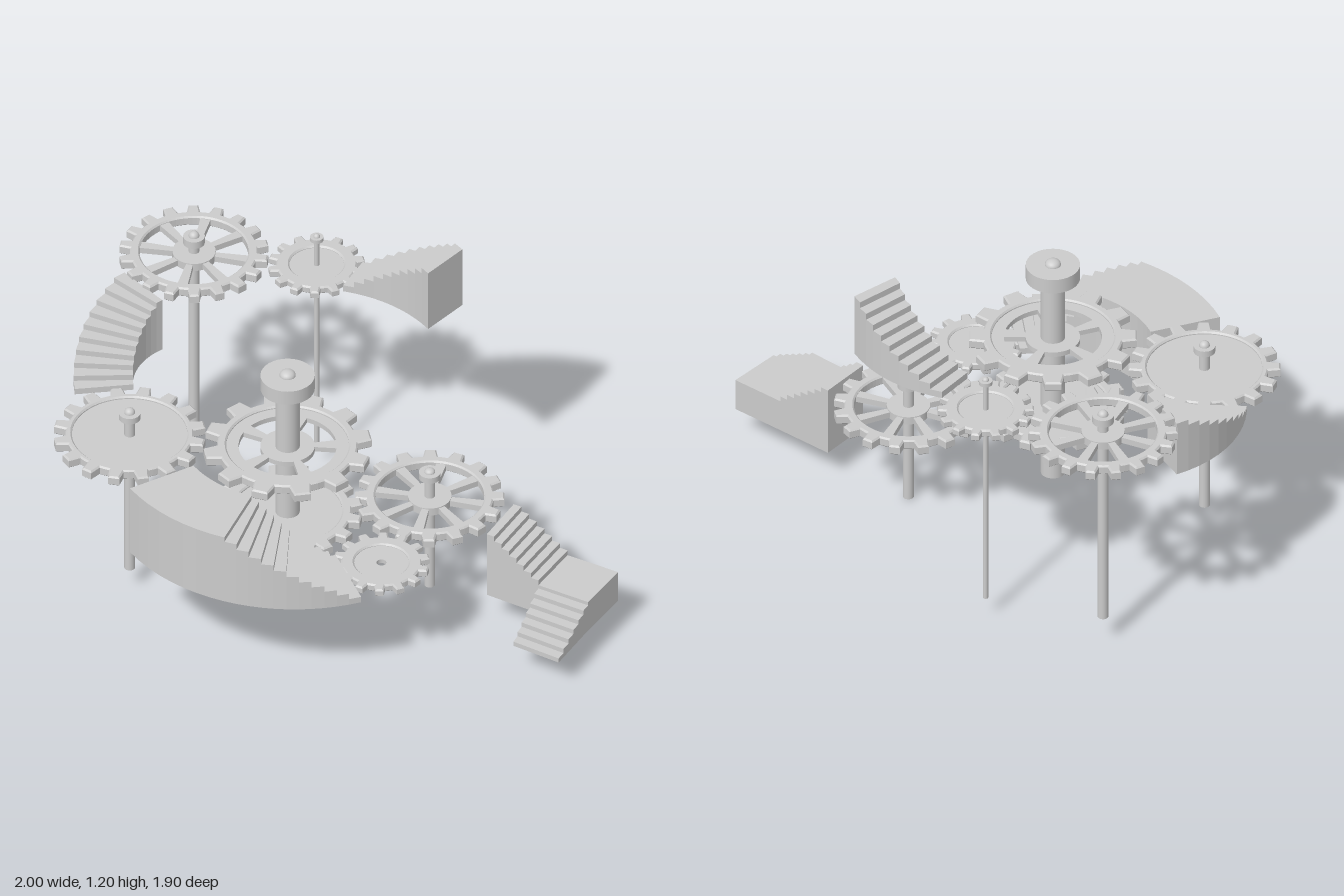
import * as THREE from 'three';

const material = new THREE.MeshStandardMaterial({ color: 0xcccccc });
const flatMaterial = new THREE.MeshStandardMaterial({ color: 0xcccccc, flatShading: true });

function add(parent, name, geometry, mat = material) {
  const mesh = new THREE.Mesh(geometry, mat);
  mesh.name = name;
  parent.add(mesh);
  return mesh;
}

// Toothed outline
function gearShape(outer, root, teeth, phase) {
  const points = [];
  const pitch = (Math.PI * 2) / teeth;
  for (let i = 0; i < teeth; i++) {
    const a = phase + i * pitch;
    for (const [r, k] of [[root, -0.3], [outer, -0.19], [outer, 0.19], [root, 0.3], [root, 0.5]]) {
      points.push(new THREE.Vector2(r * Math.cos(a + k * pitch), r * Math.sin(a + k * pitch)));
    }
  }
  return new THREE.Shape(points);
}

// Extrude a shape upward, lying flat and centred on y = 0
function flatExtrude(shape, height, bevel) {
  const g = new THREE.ExtrudeGeometry(shape, {
    depth: height - 2 * bevel, bevelEnabled: bevel > 0, bevelThickness: bevel,
    bevelSize: bevel, bevelOffset: -bevel, bevelSegments: 1, curveSegments: 40,
  });
  g.translate(0, 0, bevel - height / 2);
  g.rotateX(-Math.PI / 2);
  return g;
}

function circlePath(r) {
  return new THREE.Path().absarc(0, 0, r, 0, Math.PI * 2, true);
}

// Gear: rim with teeth, filled by a recessed plate or by spokes and a hub
function gear(parent, { name, x, y, z, outer, root, inner, teeth, height = 0.04, phase = 0, spokes = 0, hub = 0.08, window = 0, bore = 0 }) {
  const group = new THREE.Group();
  group.name = name;
  group.position.set(x, y, z);
  const rim = gearShape(outer, root, teeth, phase);
  rim.holes.push(circlePath(inner));
  add(group, 'toothedRim', flatExtrude(rim, height, 0.006), flatMaterial);

  if (spokes && !window) {
    add(group, 'hub', new THREE.CylinderGeometry(hub, hub, height * 0.8, 32));
    for (let i = 0; i < spokes; i++) {
      const length = inner - hub + 0.03;
      const wedge = new THREE.Shape([
        new THREE.Vector2(hub - 0.015, -0.012), new THREE.Vector2(hub - 0.015 + length, -0.02),
        new THREE.Vector2(hub - 0.015 + length, 0.02), new THREE.Vector2(hub - 0.015, 0.012),
      ]);
      add(group, 'spoke', flatExtrude(wedge, height * 0.6, 0)).rotation.y = ((i + 0.5) / spokes) * Math.PI * 2;
    }
  } else {
    const plate = new THREE.Shape().absarc(0, 0, inner + 0.01, 0, Math.PI * 2, false);
    // curved windows leave spokes between hub and rim
    for (let i = 0; i < spokes; i++) {
      const a = (i / spokes) * Math.PI * 2;
      const b = a + (Math.PI * 2 / spokes) * 0.78;
      const hole = new THREE.Path();
      hole.absarc(0, 0, window, a, b, false);
      hole.absarc(0, 0, hub, b, a, true);
      hole.closePath();
      plate.holes.push(hole);
    }
    if (bore) plate.holes.push(circlePath(bore));
    add(group, 'recessedPlate', flatExtrude(plate, height * 0.5, 0));
  }
  parent.add(group);
}

// Axle: rod with a round cap and a domed tip
function axle(parent, x, z, bottom, capBottom, capTop, top, rodRadius, capRadius) {
  const group = new THREE.Group();
  group.name = 'axle';
  group.position.set(x, 0, z);
  const rod = add(group, 'rod', new THREE.CylinderGeometry(rodRadius, rodRadius, capTop - bottom, 28));
  rod.position.y = (capTop + bottom) / 2;
  const cap = add(group, 'cap', new THREE.CylinderGeometry(capRadius, capRadius, capTop - capBottom, 32));
  cap.position.y = (capTop + capBottom) / 2;
  const tip = add(group, 'tip', new THREE.SphereGeometry(1, 20, 8, 0, Math.PI * 2, 0, Math.PI / 2));
  tip.scale.set(capRadius * 0.5, top - capTop, capRadius * 0.5);
  if (rodRadius > 0.03) tip.scale.set(0.03, top - capTop, 0.03);
  tip.position.y = capTop;
  parent.add(group);
}

// Solid stair between two plan curves; one height per tread
function stair(parent, name, sideA, sideB, heights, base) {
  const f = sideA[1].clone().sub(sideA[0]);
  const s = sideB[0].clone().sub(sideA[0]);
  const [o, n] = f.y * s.x - f.x * s.y > 0 ? [sideA, sideB] : [sideB, sideA];
  const position = [];
  const triangle = (...p) => {
    const area = new THREE.Triangle(...p).getArea();
    if (area > 1e-7) p.forEach((v) => position.push(v.x, v.y, v.z));
  };
  const quad = (a, b, c, d) => { triangle(a, b, c); triangle(a, c, d); };
  const at = (p, y) => new THREE.Vector3(p.x, y, p.y);
  const levels = [base, ...heights, base];
  for (let i = 0; i <= heights.length; i++) {
    const p = levels[i];
    const h = levels[i + 1];
    quad(at(n[i], p), at(o[i], p), at(o[i], h), at(n[i], h)); // riser
    if (i === heights.length) break;
    quad(at(o[i], h), at(o[i + 1], h), at(n[i + 1], h), at(n[i], h)); // tread
    quad(at(n[i], base), at(n[i + 1], base), at(o[i + 1], base), at(o[i], base)); // underside
    quad(at(o[i], base), at(o[i + 1], base), at(o[i + 1], h), at(o[i], h)); // side walls
    quad(at(n[i + 1], base), at(n[i], base), at(n[i], h), at(n[i + 1], h));
  }
  const g = new THREE.BufferGeometry();
  g.setAttribute('position', new THREE.Float32BufferAttribute(position, 3));
  g.computeVertexNormals();
  add(parent, name, g, flatMaterial);
}

const V = (x, z) => new THREE.Vector2(x, z);
const line = (a, b, n) => new THREE.LineCurve(a, b).getPoints(n);
const rise = (from, to, n) => Array.from({ length: n }, (_, i) => from + ((to - from) * (i + 1)) / n);
function arc(cx, cz, r, from, to, n) {
  return Array.from({ length: n + 1 }, (_, i) => {
    const a = THREE.MathUtils.degToRad(from + ((to - from) * i) / n);
    return V(cx + r * Math.cos(a), cz + r * Math.sin(a));
  });
}

export function createModel() {
  const model = new THREE.Group();
  model.name = 'gearStaircase';

  // Gears
  const large = { outer: 0.275, root: 0.235, inner: 0.2 };
  const small = { outer: 0.178, root: 0.148, inner: 0.1, teeth: 14, height: 0.032 };
  gear(model, { name: 'backSpokedGear', x: -0.345, y: 0.93, z: -0.68, ...large, teeth: 18, spokes: 8 });
  gear(model, { name: 'backSmallGear', x: 0.085, y: 0.928, z: -0.53, ...small });
  gear(model, { name: 'rightGear', x: -0.72, y: 0.695, z: 0.055, ...large, outer: 0.28, inner: 0.212, teeth: 16 });
  gear(model, { name: 'upperCentreGear', x: -0.165, y: 0.705, z: 0.24, outer: 0.31, root: 0.258, inner: 0.225, teeth: 12, spokes: 5, hub: 0.1, window: 0.18 });
  gear(model, { name: 'lowerCentreGear', x: -0.165, y: 0.403, z: 0.24, ...large, teeth: 16 });
  gear(model, { name: 'leftSpokedGear', x: 0.365, y: 0.395, z: 0.24, ...large, teeth: 16, phase: 0.2, spokes: 8 });
  gear(model, { name: 'frontSmallGear', x: 0.115, y: 0.414, z: 0.62, ...small, bore: 0.018 });

  // Axles
  axle(model, -0.345, -0.68, 0.11, 0.985, 1.015, 1.035, 0.02, 0.04);
  axle(model, 0.085, -0.53, 0.09, 1.05, 1.065, 1.078, 0.01, 0.025);
  axle(model, -0.72, 0.055, 0.09, 0.78, 0.805, 0.825, 0.02, 0.04);
  axle(model, -0.165, 0.24, 0.11, 0.98, 1.04, 1.062, 0.045, 0.1);
  axle(model, 0.365, 0.24, 0, 0.495, 0.52, 0.535, 0.02, 0.04);

  // Corner stair with a landing at the turn
  const corner = V(0.696, 0.644);
  const outerSide = [...line(V(0.66, 0.34), V(0.834, 0.485), 7), V(0.998, 0.62), ...line(V(0.857, 0.778), V(0.715, 0.95), 6)];
  const innerSide = [...line(V(0.53, 0.5), corner, 7), corner, ...line(corner, V(0.57, 0.82), 6)];
  const cornerHeights = [...rise(0.255, 0.405, 7).reverse(), 0.255, 0.255, ...rise(0.125, 0.24, 6).reverse()];
  stair(model, 'cornerStair', outerSide, innerSide, cornerHeights, 0.125);

  // Large curved stair: plain landing, then steps down to the small gear
  const sweep = (r) => [...arc(-0.12, 0.137, r, 160, 122, 8), ...arc(-0.12, 0.137, r, 122, 80, 11).slice(1)];
  stair(model, 'frontCurvedStair', sweep(0.7), sweep(0.43), [...Array(8).fill(0.705), ...rise(0.41, 0.685, 11).reverse()], 0.41);

  // Curved stair from the right gear up to the back gear
  stair(model, 'rightCurvedStair', arc(-0.4, -0.195, 0.475, 183, 243, 10), arc(-0.4, -0.195, 0.258, 183, 245, 10), rise(0.705, 0.93, 10), 0.703);

  // Top stair leading away from the small back gear
  const bow = (a, c, b) => new THREE.QuadraticBezierCurve(a, c, b).getPoints(10);
  stair(model, 'topStair', bow(V(0.245, -0.47), V(0.47, -0.39), V(0.565, -0.185)),
    bow(V(0.15, -0.345), V(0.335, -0.255), V(0.415, -0.065)), rise(0.945, 1.2, 10), 0.943);

  return model;
}
